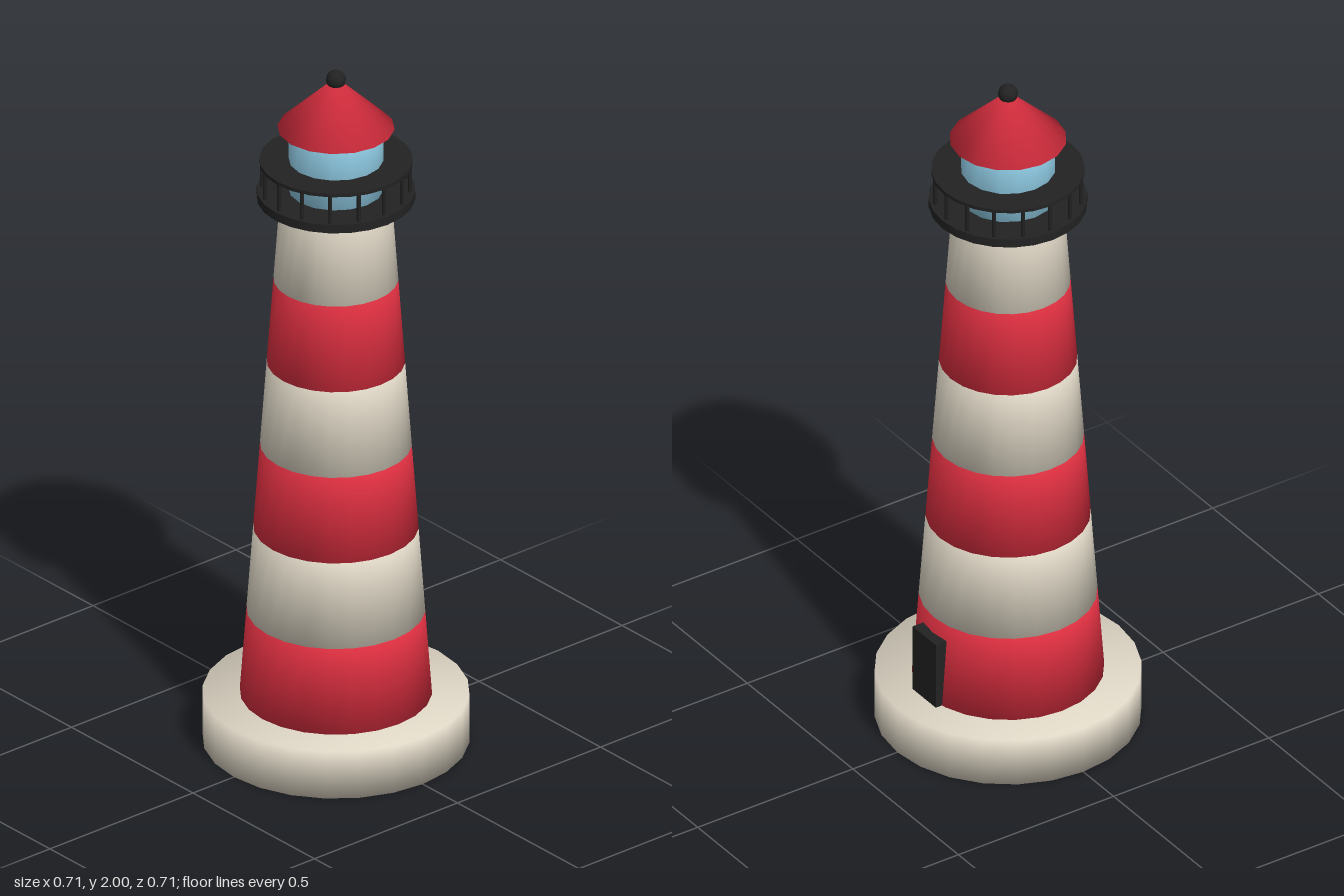
import * as THREE from 'three';
import { mergeVertices } from 'three/addons/utils/BufferGeometryUtils.js';

const paint = (name, color) => Object.assign(new THREE.MeshStandardMaterial({ color }), { name });

// Weld a geometry and smooth its normals over all edges
function soften(geometry) {
  geometry.deleteAttribute('uv');
  geometry.deleteAttribute('normal');
  const welded = mergeVertices(geometry, 1e-4);
  welded.computeVertexNormals();
  return welded;
}

export function createModel() {
  const cream = paint('cream', 0xddd5c4);
  const red = paint('red', 0xdc2f40);
  const black = paint('black', 0x222222);
  const glass = paint('glass blue', 0x8ac4dc);

  const model = new THREE.Group();
  model.name = 'lighthouse';

  function add(name, geometry, material, x = 0, y = 0, z = 0, parent = model) {
    const mesh = new THREE.Mesh(geometry, material);
    mesh.name = name;
    mesh.position.set(x, y, z);
    parent.add(mesh);
    return mesh;
  }

  // Round part standing between two heights
  function drum(name, rTop, rBottom, y0, y1, sides, material, parent) {
    const geometry = soften(new THREE.CylinderGeometry(rTop, rBottom, y1 - y0, sides));
    return add(name, geometry, material, 0, (y0 + y1) / 2, 0, parent);
  }

  drum('base', 0.357, 0.357, 0, 0.14, 24, cream);

  // Tapered tower of six striped bands
  const tower = new THREE.Group();
  tower.name = 'tower';
  model.add(tower);
  const bands = 6, low = 0.14, high = 1.625;
  const radius = t => THREE.MathUtils.lerp(0.257, 0.149, t);
  const height = t => THREE.MathUtils.lerp(low, high, t);
  for (let i = 0; i < bands; i++) {
    const a = i / bands, b = (i + 1) / bands;
    drum('towerBand', radius(b), radius(a), height(a), height(b), 24, i % 2 ? cream : red, tower);
  }

  // Door at the back
  add('door', new THREE.BoxGeometry(0.11, 0.2, 0.035), black, 0, 0.24, -0.2525);

  // Gallery: floor, posts and flat rail
  const gallery = new THREE.Group();
  gallery.name = 'gallery';
  model.add(gallery);
  add('galleryFloor', new THREE.CylinderGeometry(0.212, 0.212, 0.025, 24), black, 0, 1.633, 0, gallery);
  const railProfile = [[0.12, 1.725], [0.205, 1.725], [0.205, 1.735], [0.12, 1.735]]
    .map(([x, y]) => new THREE.Vector2(x, y));
  const rail = new THREE.LatheGeometry(railProfile, 24).toNonIndexed();
  rail.computeVertexNormals();
  add('galleryRail', rail, black, 0, 0, 0, gallery);
  const postGeometry = new THREE.CylinderGeometry(0.006, 0.006, 0.09, 6);
  for (let i = 0; i < 16; i++) {
    const angle = (i / 16) * Math.PI * 2;
    add('galleryPost', postGeometry, black, 0.198 * Math.sin(angle), 1.685, 0.198 * Math.cos(angle), gallery);
  }

  // Lantern room, roof and finial
  drum('lantern', 0.127, 0.127, 1.64, 1.83, 16, glass);
  const roof = soften(new THREE.ConeGeometry(0.157, 0.15, 16));
  add('roof', roof, red, 0, 1.905, 0);
  add('finial', new THREE.SphereGeometry(0.027, 12, 8), black, 0, 1.973, 0);

  return model;
}
